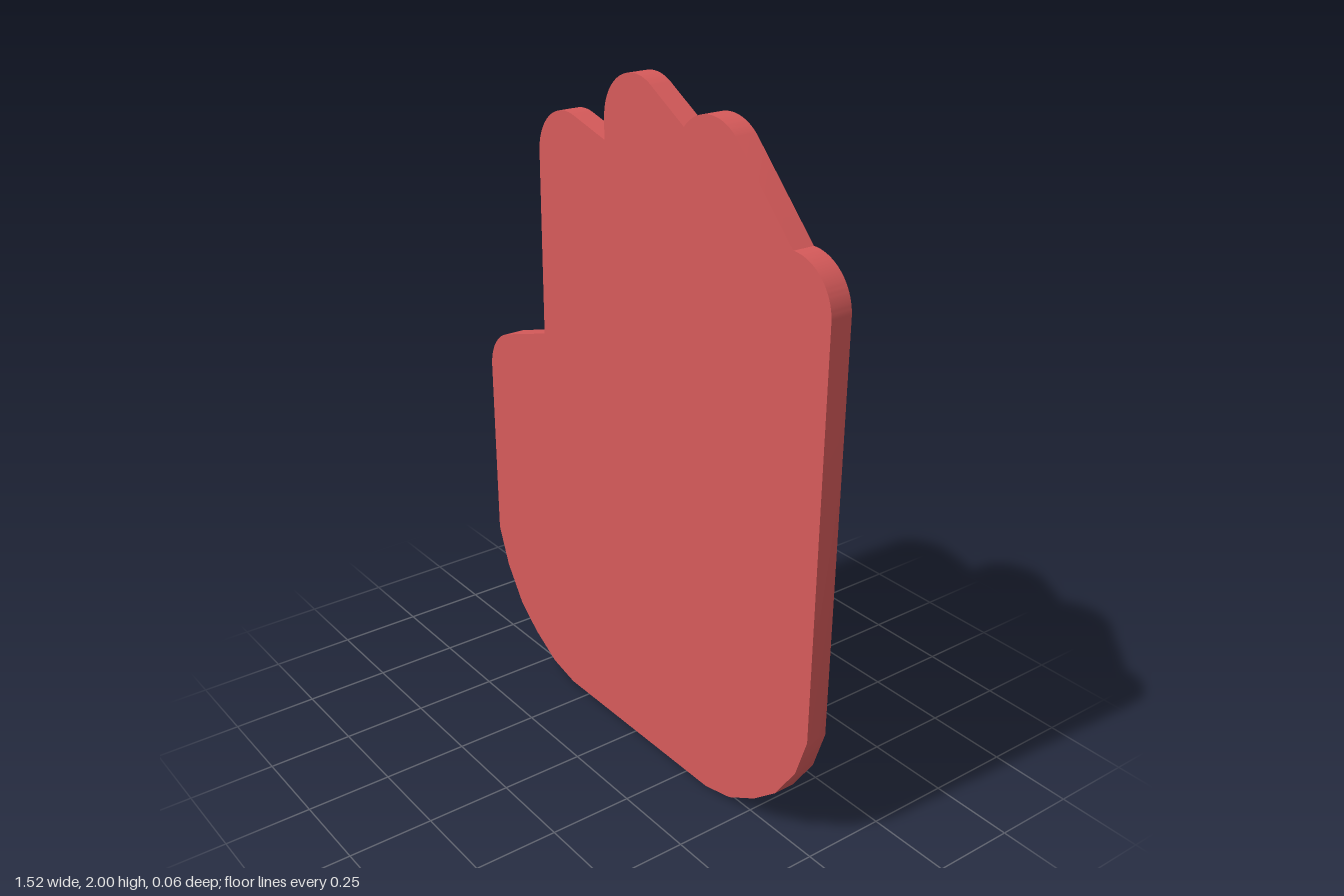
import * as THREE from 'three';
import { toCreasedNormals } from 'three/addons/utils/BufferGeometryUtils.js';

const DEPTH = 0.064;

export function createModel() {
  const group = new THREE.Group();
  group.name = 'handPlaque';

  // Faceted lower corner of the palm, mirrored for the other side
  const corner = [[0.34, 0], [0.445, 0.025], [0.55, 0.085], [0.635, 0.155], [0.71, 0.265], [0.75, 0.385]];

  // Rounded finger tips: centre, radius, start and end angle
  const tips = {
    little: [0.62, 1.552, 0.138, 0, Math.PI / 2],
    ring: [0.31, 1.81, 0.14, 0.8, 2.43],
    middle: [0, 1.865, 0.135, 0.98, Math.PI],
    index: [-0.315, 1.71, 0.137, 1.31, Math.PI],
    thumb: [-0.623, 0.96, 0.139, 1.88, Math.PI],
  };

  // Outline, counter-clockwise from the bottom edge
  const shape = new THREE.Shape();
  shape.moveTo(-corner[0][0], 0);
  corner.forEach(([x, y]) => shape.lineTo(x, y));
  shape.absarc(...tips.little);
  shape.absarc(...tips.ring);
  shape.absarc(...tips.middle);
  shape.lineTo(-0.135, 1.803); // notch between middle and index finger
  shape.absarc(...tips.index);
  shape.lineTo(-0.452, 1.16); // crook of the thumb
  shape.absarc(...tips.thumb);
  corner.slice(1).reverse().forEach(([x, y]) => shape.lineTo(x === 0.75 ? -0.757 : -x, y));
  shape.closePath();

  const geometry = new THREE.ExtrudeGeometry(shape, { depth: DEPTH, bevelEnabled: false, curveSegments: 16 });
  geometry.translate(0, 0, -DEPTH / 2);

  const hand = new THREE.Mesh(
    toCreasedNormals(geometry, 0.6),
    new THREE.MeshStandardMaterial({ color: 0xd65a5a })
  );
  hand.name = 'hand';
  group.add(hand);
  return group;
}
